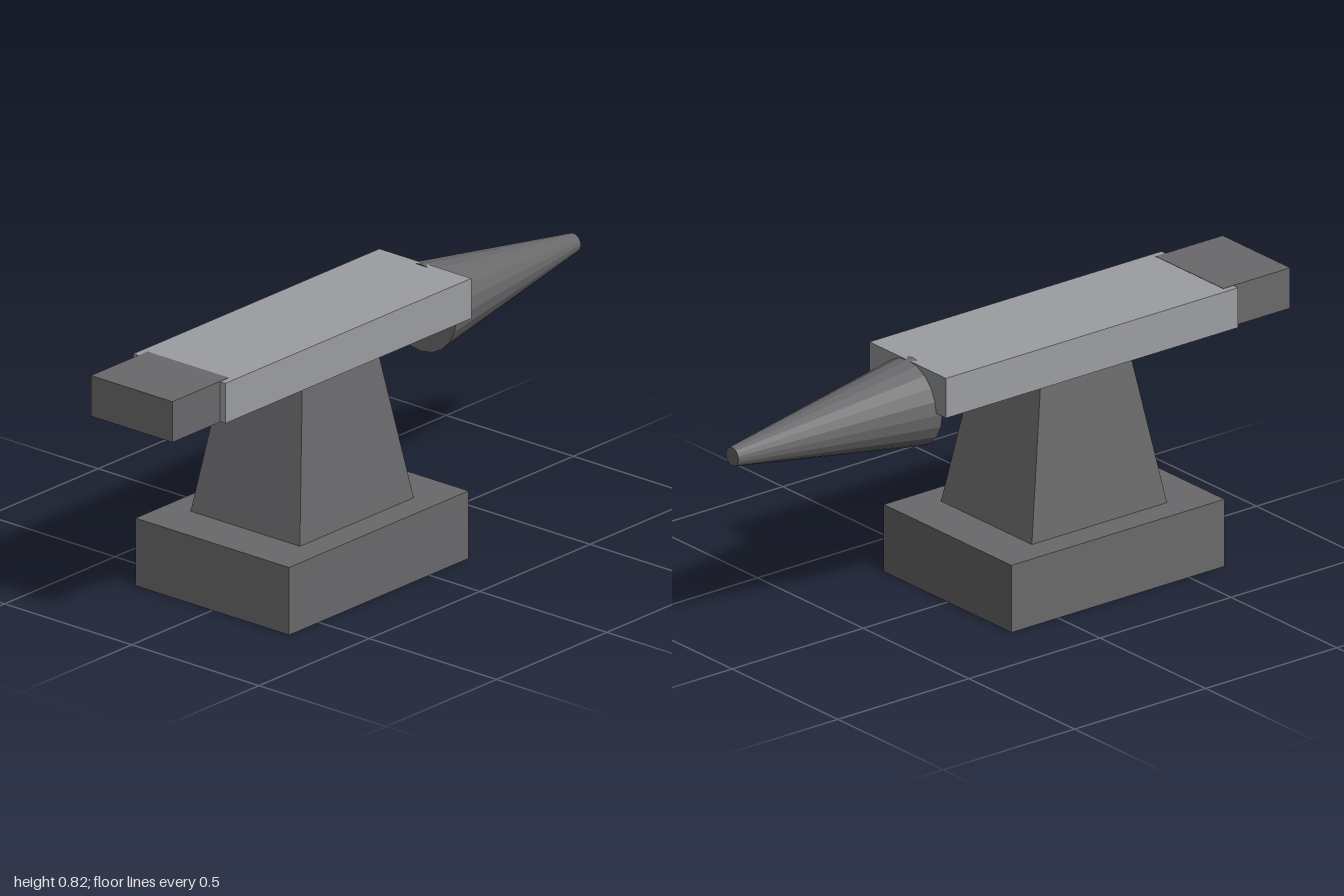
import * as THREE from 'three';

export function createModel() {
  const model = new THREE.Group();
  const darkIron = new THREE.MeshStandardMaterial({ color: 0x69696b, flatShading: true });
  darkIron.name = 'darkIron';
  const polishedSteel = new THREE.MeshStandardMaterial({ color: 0x9c9da1, flatShading: true });
  polishedSteel.name = 'polishedSteel';

  const add = (name, geometry, material, x, y) => {
    const mesh = new THREE.Mesh(geometry, material);
    mesh.name = name;
    mesh.position.set(x, y, 0);
    model.add(mesh);
  };

  // Box spanning x0..x1 and y0..y1, centred on z
  const block = (name, material, x0, x1, y0, y1, depth) =>
    add(name, new THREE.BoxGeometry(x1 - x0, y1 - y0, depth), material, (x0 + x1) / 2, (y0 + y1) / 2);

  // Foot, working face and heel (heel skin sits just proud of the face)
  block('base', darkIron, -0.635, 0.178, 0, 0.216, 0.604);
  block('face', polishedSteel, -0.784, 0.33, 0.69, 0.818, 0.362);
  block('heel', darkIron, -1, -0.745, 0.689, 0.819, 0.32);

  // Tapered waist: a box whose upper corners are drawn inward
  const waist = new THREE.BoxGeometry(0.516, 0.48, 0.43);
  const p = waist.attributes.position;
  for (let i = 0; i < p.count; i++) {
    if (p.getY(i) > 0) {
      p.setX(i, Math.sign(p.getX(i)) * 0.171);
      p.setZ(i, Math.sign(p.getZ(i)) * 0.149);
    }
  }
  waist.computeVertexNormals();
  add('waist', waist, darkIron, -0.228, 0.455);

  // Horn: blunt cone pointing along +x
  const horn = new THREE.CylinderGeometry(0.03, 0.139, 0.69, 20);
  horn.rotateZ(-Math.PI / 2);
  add('horn', horn, darkIron, 0.655, 0.683);

  return model;
}
